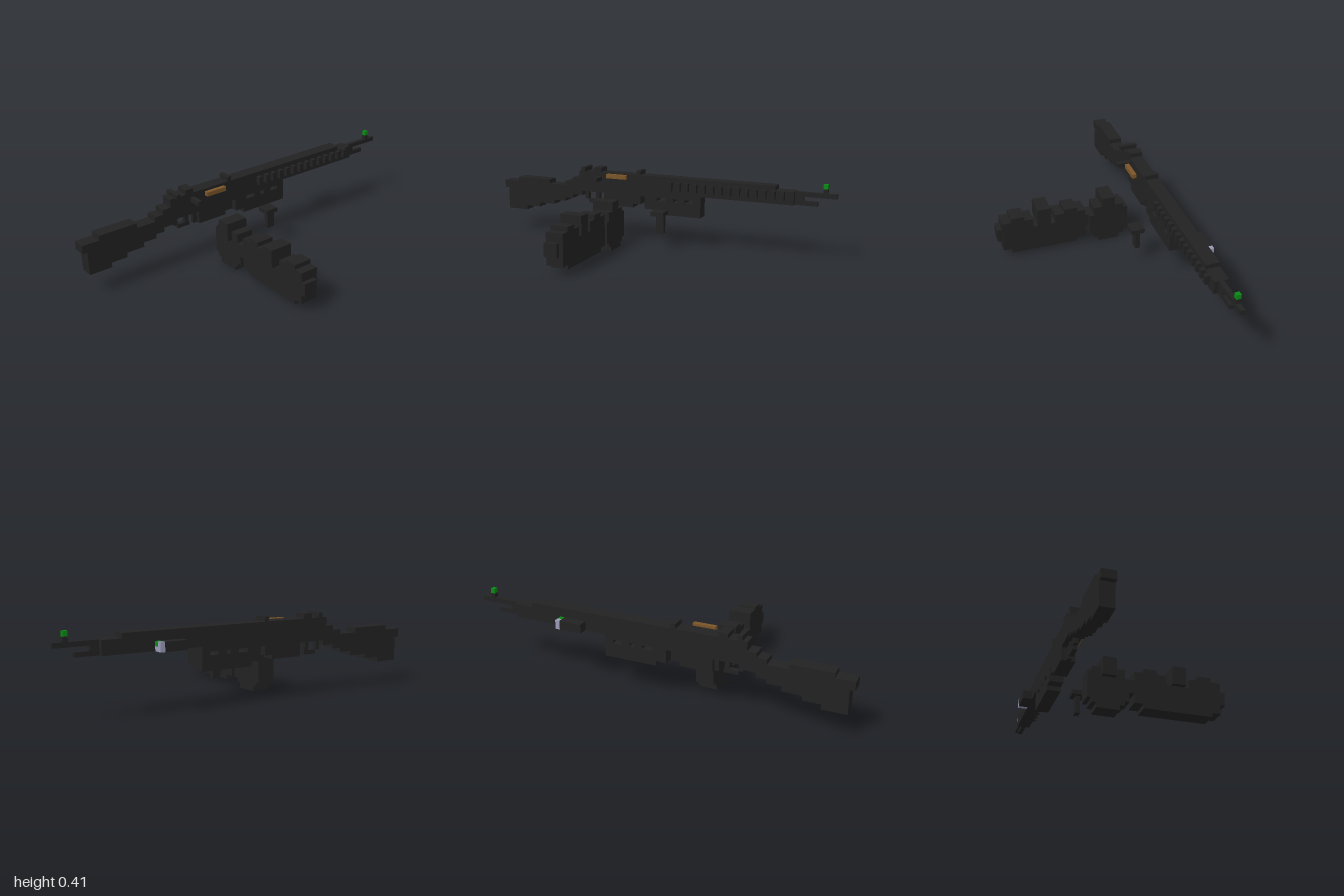
import * as THREE from 'three';

export function createModel() {
  const root = new THREE.Group();
  root.name = 'blockRifleAndDrums';
  const mat = (name, color) => {
    const m = new THREE.MeshStandardMaterial({ color });
    m.name = name;
    return m;
  };
  const black = mat('gunBlack', 0x222222);
  const brown = mat('brass', 0x7a5528);
  const green = mat('sightGreen', 0x0a8a14);
  const silver = mat('lensSilver', 0x9a9ab8);

  const group = (name) => {
    const g = new THREE.Group();
    g.name = name;
    root.add(g);
    return g;
  };
  // box from its limits on each axis
  const box = (parent, name, m, x0, x1, y0, y1, z0, z1) => {
    const mesh = new THREE.Mesh(new THREE.BoxGeometry(x1 - x0, y1 - y0, z1 - z0), m);
    mesh.position.set((x0 + x1) / 2, (y0 + y1) / 2, (z0 + z1) / 2);
    mesh.name = name;
    parent.add(mesh);
  };
  const L = -0.415, R = -0.343, CL = -0.39, CR = -0.366;

  // stock, receiver and handguard: one stepped side profile (z, y)
  const profile = [
    [1, 0.25], [1, 0.295], [0.905, 0.295], [0.905, 0.32], [0.69, 0.32], [0.69, 0.295],
    [0.585, 0.295], [0.585, 0.32], [0.535, 0.32], [0.535, 0.345], [0.488, 0.345], [0.488, 0.39],
    [-0.68, 0.39], [-0.68, 0.366], [-0.78, 0.366], [-0.78, 0.295], [-0.26, 0.295], [-0.26, 0.27],
    [0.47, 0.27], [0.47, 0.245], [0.535, 0.245], [0.535, 0.222], [0.585, 0.222], [0.585, 0.2],
    [0.66, 0.2], [0.66, 0.175], [0.76, 0.175], [0.76, 0.15], [0.85, 0.15], [0.85, 0.124],
    [0.975, 0.124], [0.975, 0.25],
  ];
  const shape = new THREE.Shape(profile.map(([z, y]) => new THREE.Vector2(z, y)));
  const bodyGeo = new THREE.ExtrudeGeometry(shape, { depth: R - L, bevelEnabled: false });
  bodyGeo.rotateY(-Math.PI / 2).translate(R, 0, 0);
  const gun = group('rifle');
  const body = new THREE.Mesh(bodyGeo, black);
  body.name = 'stockAndReceiver';
  gun.add(body);

  // barrel, rod and front sight
  box(gun, 'handguardTip', black, CL, CR, 0.295, 0.366, -0.825, -0.78);
  box(gun, 'barrel', black, CL, CR, 0.342, 0.366, -1, -0.825);
  box(gun, 'cleaningRod', black, CL, CR, 0.295, 0.318, -0.9, -0.825);
  box(gun, 'frontSightPost', black, CL, CR, 0.366, 0.39, -0.95, -0.927);
  box(gun, 'frontSightBead', green, CL, CR, 0.39, 0.415, -0.95, -0.927);

  // ribs along the handguard
  for (let i = 0; i < 14; i++) {
    const z = -0.732 + i * 0.0488;
    box(gun, 'handguardRib', black, R, -0.319, 0.318, 0.366, z, z + 0.0244);
  }

  // rear sights, bolt handle and brass case
  box(gun, 'rearSight', black, L, -0.319, 0.39, 0.415, 0.439, 0.463);
  box(gun, 'sightBlock', black, L, R, 0.39, 0.415, 0.345, 0.393);
  box(gun, 'midSight', black, L, R, 0.39, 0.415, 0.1, 0.124);
  box(gun, 'boltHandle', black, R, -0.27, 0.342, 0.366, 0.341, 0.365);
  box(gun, 'brassCase', brown, -0.317, -0.293, 0.367, 0.39, 0.17, 0.29);

  // trigger group and magazine well
  box(gun, 'guardRear', black, CL, CR, 0.222, 0.27, 0.439, 0.463);
  box(gun, 'guardBottom', black, CL, CR, 0.2, 0.222, 0.365, 0.439);
  box(gun, 'trigger', black, CL, CR, 0.222, 0.27, 0.37, 0.393);
  box(gun, 'guardFront', black, CL, CR, 0.2, 0.27, 0.317, 0.341);
  box(gun, 'magazineWell', black, L, R, 0.2, 0.27, 0.145, 0.317);
  box(gun, 'magazineCatch', black, L, R, 0.222, 0.27, 0.1, 0.145);

  // underslung fore grip
  box(gun, 'gripBracket', black, L, R, 0.2, 0.27, 0.0, 0.075);
  box(gun, 'gripBox', black, L, R, 0.175, 0.25, -0.262, 0.02);
  for (const z of [-0.1, -0.17, -0.262])
    box(gun, 'gripMount', black, L, R, 0.25, 0.295, z, z + 0.045);

  // side lamp on the far side
  box(gun, 'lampBody', black, -0.465, L, 0.295, 0.342, -0.49, -0.37);
  box(gun, 'lampLens', silver, -0.465, -0.44, 0.295, 0.342, -0.514, -0.49);
  box(gun, 'lampLensLower', silver, -0.44, L, 0.295, 0.318, -0.514, -0.49);
  box(gun, 'laser', green, -0.44, L, 0.318, 0.342, -0.514, -0.49);

  // detached folding grip
  const grip = group('looseGrip');
  box(grip, 'gripPlate', black, -0.268, -0.196, 0.197, 0.221, -0.1, -0.027);
  box(grip, 'gripColumn', black, -0.245, -0.22, 0.1, 0.197, -0.095, -0.05);

  // twin drums: rows of [x0, x1, y0, y1]
  const drums = group('twinDrums');
  const rows = [
    [-0.22, -0.1, 0, 0.027], [-0.245, -0.075, 0.027, 0.05], [-0.268, -0.05, 0.05, 0.172],
    [-0.268, -0.075, 0.172, 0.197], [-0.245, -0.075, 0.197, 0.221],
    [0.024, 0.39, 0.027, 0.05], [-0.025, 0.438, 0.05, 0.172],
    [-0.025, 0.145, 0.172, 0.221], [0.268, 0.438, 0.172, 0.221],
    [0.024, 0.096, 0.221, 0.245], [0.316, 0.39, 0.221, 0.245],
  ];
  for (const r of rows) box(drums, 'drumRow', black, ...r, 0.168, 0.264);
  box(drums, 'drumBridge', black, -0.05, -0.025, 0.1, 0.172, 0.19, 0.264);
  box(drums, 'drumEnd', black, 0.438, 0.463, 0.1, 0.172, 0.19, 0.264);
  for (const x of [-0.196, 0.17])
    box(drums, 'feedTower', black, x, x + 0.073, 0.172, 0.27, 0.168, 0.29);

  return root;
}
